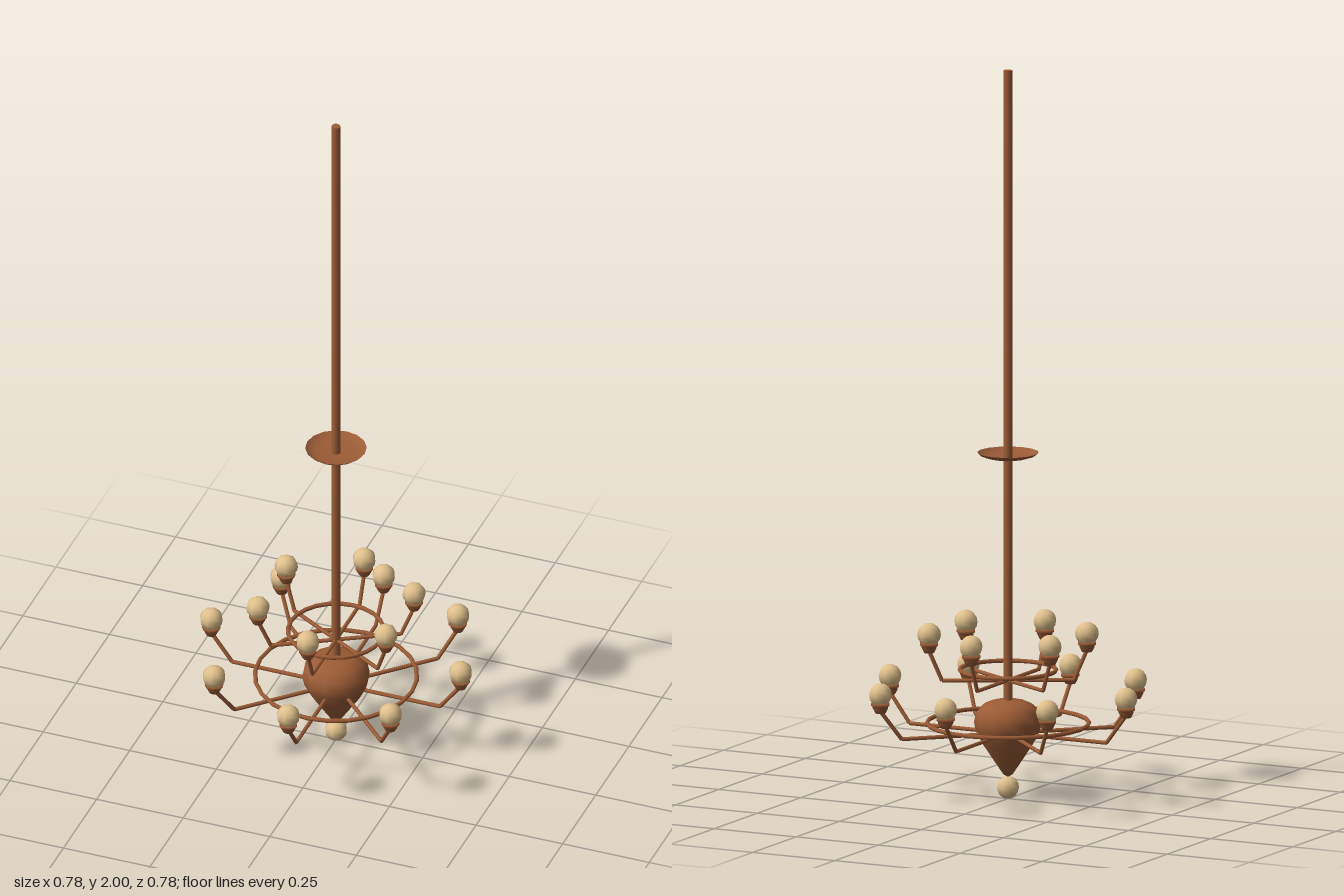
import * as THREE from 'three';

const bronze = new THREE.MeshStandardMaterial({ color: 0x9c5c36, side: THREE.DoubleSide });
const glass = new THREE.MeshStandardMaterial({ color: 0xe0c08c });

function add(parent, name, geometry, material = bronze) {
  const mesh = new THREE.Mesh(geometry, material);
  mesh.name = name;
  parent.add(mesh);
  return mesh;
}

const lathe = (points, sides) =>
  new THREE.LatheGeometry(points.map(([r, y]) => new THREE.Vector2(r, y)), sides);

// Straight rod between two points in the arm's own x-y plane
function rod(parent, name, [x1, y1], [x2, y2], radius) {
  const a = new THREE.Vector3(x1, y1, 0), b = new THREE.Vector3(x2, y2, 0);
  const mesh = add(parent, name, new THREE.CylinderGeometry(radius, radius, a.distanceTo(b), 8));
  mesh.position.copy(a).lerp(b, 0.5);
  mesh.quaternion.setFromUnitVectors(new THREE.Vector3(0, 1, 0), b.sub(a).normalize());
}

// Arm with a bent-up end, a stepped socket and a round bulb
function makeArm(name, armY, bendR, bulbR, bulbY) {
  const arm = new THREE.Group();
  arm.name = name;
  rod(arm, 'armBar', [0, armY], [bendR, armY], 0.0055);
  rod(arm, 'armRiser', [bendR, armY], [bulbR, bulbY - 0.045], 0.0055);
  const socket = add(arm, 'socket', lathe([
    [0, -0.052], [0.014, -0.05], [0.021, -0.036], [0.021, -0.032],
    [0.025, -0.03], [0.025, -0.022], [0, -0.02],
  ], 10));
  socket.position.set(bulbR, bulbY, 0);
  const bulb = add(arm, 'bulb', new THREE.SphereGeometry(0.032, 8, 8), glass);
  bulb.position.set(bulbR, bulbY, 0);
  return arm;
}

function ring(parent, name, radius, y) {
  const mesh = add(parent, name, new THREE.TorusGeometry(radius, 0.006, 6, 24));
  mesh.rotation.x = Math.PI / 2;
  mesh.position.y = y;
}

export function createModel() {
  const model = new THREE.Group();
  model.name = 'chandelier';

  // Long hanging rod
  const stem = add(model, 'hangingRod', new THREE.CylinderGeometry(0.012, 0.012, 1.75, 10));
  stem.position.y = 1.125;

  // Shallow dish on the rod
  add(model, 'dish', lathe([[0.01, 0.936], [0.055, 0.937], [0.074, 0.943], [0.083, 0.951]], 16));

  // Teardrop body
  add(model, 'body', lathe([
    [0, 0.06], [0.012, 0.066], [0.035, 0.1], [0.068, 0.15], [0.086, 0.185],
    [0.092, 0.21], [0.087, 0.235], [0.07, 0.257], [0.045, 0.268], [0, 0.273],
  ], 12));
  const finial = add(model, 'bottomBulb', new THREE.SphereGeometry(0.031, 8, 8), glass);
  finial.position.y = 0.031;

  // Bracing rings
  ring(model, 'lowerRing', 0.219, 0.208);
  ring(model, 'upperRing', 0.13, 0.354);

  // Lower tier of eight arms, upper tier of six
  for (let i = 0; i < 8; i++) {
    const arm = makeArm('lowerArm', 0.18, 0.3, 0.36, 0.305);
    arm.rotation.y = (i / 8) * Math.PI * 2;
    model.add(arm);
  }
  for (let i = 0; i < 6; i++) {
    const arm = makeArm('upperArm', 0.325, 0.178, 0.213, 0.452);
    arm.rotation.y = (i / 6) * Math.PI * 2 + Math.PI / 2;
    model.add(arm);
  }
  return model;
}
